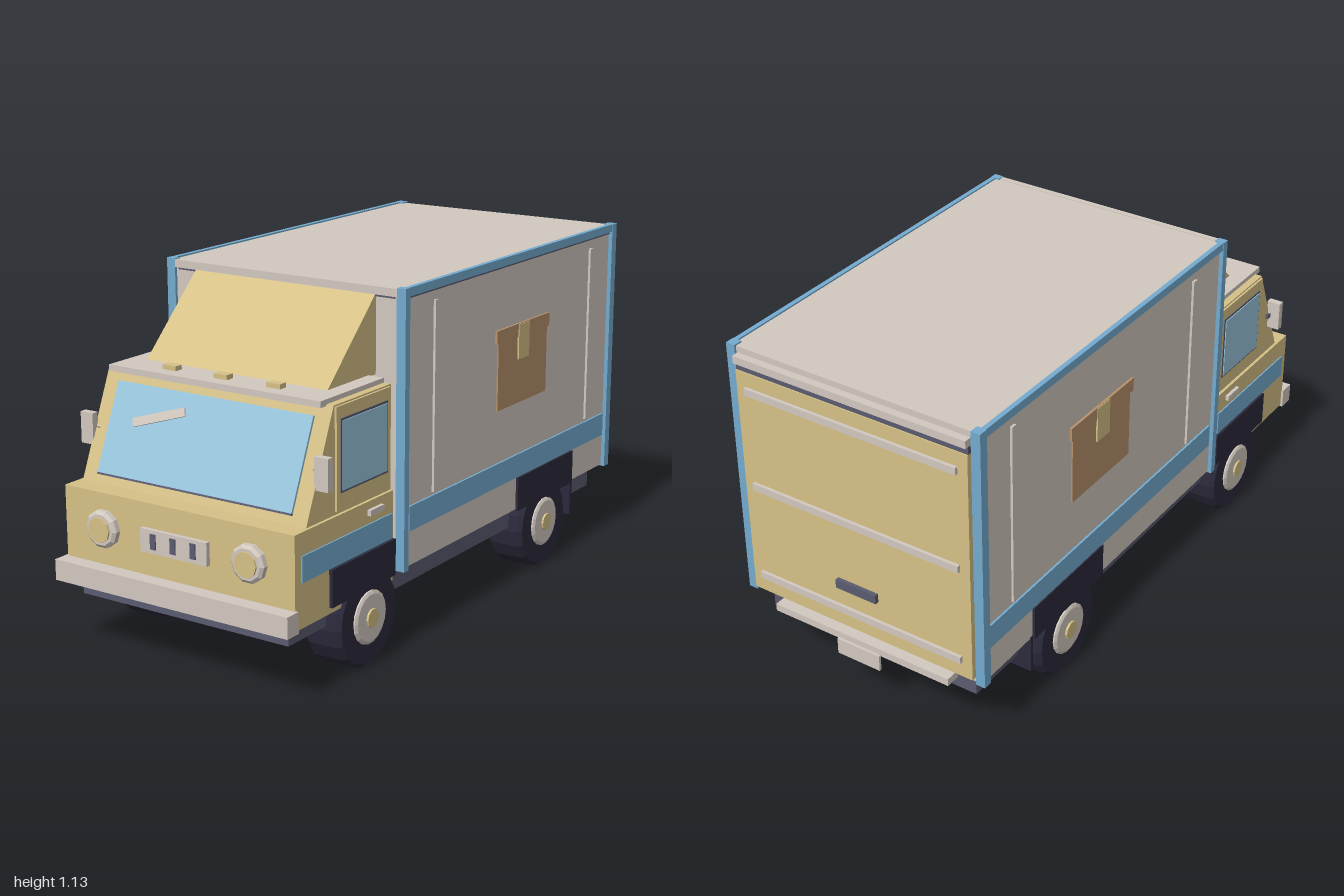
import * as THREE from 'three';

const mat = (name, color) => {
  const m = new THREE.MeshStandardMaterial({ color });
  m.name = name;
  return m;
};

export function createModel() {
  const truck = new THREE.Group();
  truck.name = 'deliveryTruck';

  const khaki = mat('khaki', 0xd6c187);
  const cream = mat('cream', 0xd2c9c0);
  const blue = mat('blue', 0x74acd0);
  const glass = mat('glass', 0x9ac6dc);
  const navy = mat('navy', 0x2c2a3c);
  const slate = mat('slate', 0x5a5b70);
  const cardboard = mat('cardboard', 0xb8936b);

  const add = (name, geo, m, parent = truck) => {
    const mesh = new THREE.Mesh(geo, m);
    mesh.name = name;
    parent.add(mesh);
    return mesh;
  };
  // box given by its limits on each axis
  const box = (name, m, x0, x1, y0, y1, z0, z1, parent = truck) => {
    const mesh = add(name, new THREE.BoxGeometry(x1 - x0, y1 - y0, z1 - z0), m, parent);
    mesh.position.set((x0 + x1) / 2, (y0 + y1) / 2, (z0 + z1) / 2);
    return mesh;
  };
  // the same box on both sides
  const pair = (name, m, x0, x1, ...rest) => {
    box(name + 'Left', m, x0, x1, ...rest);
    box(name + 'Right', m, -x1, -x0, ...rest);
  };
  // side profile of [z, y] points, extruded across the width
  const profile = (name, m, pts, half) => {
    const shape = new THREE.Shape(pts.map(([z, y]) => new THREE.Vector2(z, y)));
    const geo = new THREE.ExtrudeGeometry(shape, { depth: half * 2, bevelEnabled: false });
    geo.translate(0, 0, -half).rotateY(-Math.PI / 2);
    return add(name, geo, m);
  };
  // faceted solid of revolution around x, from [radius, x] points
  const turned = (name, m, pts, sides, parent) => {
    let geo = new THREE.LatheGeometry(pts.map(([r, x]) => new THREE.Vector2(r, x)), sides);
    geo = geo.toNonIndexed();
    geo.computeVertexNormals();
    geo.rotateZ(-Math.PI / 2);
    return add(name, geo, m, parent);
  };

  // chassis
  box('chassis', slate, -0.39, 0.39, 0.17, 0.262, -0.93, 0.93);

  // cargo body
  box('cargoBody', cream, -0.438, 0.438, 0.255, 1.13, -0.965, 0.4);
  pair('frontPost', blue, 0.42, 0.452, 0.25, 1.135, 0.385, 0.41);
  pair('rearPost', blue, 0.42, 0.452, 0.25, 1.135, -0.972, -0.94);
  pair('topRail', blue, 0.434, 0.45, 1.108, 1.135, -0.95, 0.39);
  pair('railShadowGap', slate, 0.43, 0.441, 1.1, 1.108, -0.94, 0.385);
  box('frontHeader', cream, -0.42, 0.42, 1.107, 1.132, 0.39, 0.41);
  box('frontHeaderGap', slate, -0.41, 0.41, 1.1, 1.107, 0.39, 0.404);
  pair('cargoStripe', blue, 0.435, 0.445, 0.37, 0.45, -0.93, 0.37);
  for (const z of [0.22, -0.8]) pair('sideRib', cream, 0.435, 0.446, 0.46, 1.07, z - 0.01, z + 0.01);

  // painted carton on each side
  pair('cartonBody', cardboard, 0.435, 0.443, 0.63, 0.855, -0.49, -0.165);
  pair('cartonLid', cardboard, 0.436, 0.446, 0.855, 0.9, -0.5, -0.15);
  pair('cartonTape', khaki, 0.44, 0.4485, 0.78, 0.898, -0.36, -0.29);

  // rear door
  box('rearDoor', khaki, -0.415, 0.415, 0.27, 1.06, -0.982, -0.96);
  box('doorTopGap', slate, -0.415, 0.415, 1.06, 1.085, -0.978, -0.96);
  box('doorHeader', cream, -0.415, 0.415, 1.085, 1.11, -0.99, -0.96);
  for (const y of [1.0, 0.665, 0.335]) box('doorRib', cream, -0.38, 0.38, y - 0.012, y + 0.012, -0.993, -0.975);
  box('doorHandle', slate, -0.075, 0.075, 0.415, 0.445, -0.996, -0.975);
  box('rearStep', slate, -0.32, 0.32, 0.2, 0.235, -0.97, -0.92);
  box('rearBumper', cream, -0.33, 0.33, 0.215, 0.24, -0.99, -0.94);
  box('rearPlate', cream, -0.08, 0.08, 0.165, 0.22, -1.0, -0.991);

  // cab
  box('cabLower', khaki, -0.43, 0.43, 0.23, 0.52, 0.44, 0.95);
  profile('cabUpper', khaki, [[0.44, 0.51], [0.884, 0.51], [0.74, 0.85], [0.44, 0.85]], 0.42);
  pair('door', khaki, 0.415, 0.427, 0.53, 0.845, 0.45, 0.735);
  pair('doorWindow', glass, 0.424, 0.432, 0.59, 0.8, 0.475, 0.71);
  pair('doorWindowSeal', slate, 0.422, 0.429, 0.583, 0.807, 0.468, 0.717);
  pair('doorHandle', cream, 0.425, 0.442, 0.477, 0.495, 0.505, 0.58);
  pair('cabStripe', blue, 0.427, 0.435, 0.37, 0.45, 0.45, 0.92);
  box('cabRoof', cream, -0.395, 0.395, 0.845, 0.865, 0.44, 0.77);
  for (const x of [-0.195, 0, 0.195]) box('markerLight', khaki, x - 0.025, x + 0.025, 0.86, 0.88, 0.695, 0.725);
  profile('windDeflector', khaki, [[0.66, 0.86], [0.4, 1.11], [0.4, 0.86]], 0.34);

  // windshield, tilted with the front of the cab
  const shield = new THREE.Group();
  shield.name = 'windshield';
  shield.position.set(0, 0.6825, 0.812);
  shield.rotation.x = -0.401;
  truck.add(shield);
  box('windshieldGlass', glass, -0.365, 0.365, -0.144, 0.144, -0.002, 0.007, shield);
  box('windshieldSeal', slate, -0.365, 0.365, -0.15, -0.144, -0.002, 0.007, shield);
  const glint = box('glint', cream, -0.097, 0.097, -0.014, 0.014, -0.004, 0.004, shield);
  glint.position.set(-0.178, 0.055, 0.008);
  glint.rotation.z = 0.32;

  // mirrors
  pair('mirror', cream, 0.415, 0.463, 0.62, 0.72, 0.808, 0.832);
  pair('mirrorArm', slate, 0.4, 0.43, 0.66, 0.675, 0.79, 0.815);

  // nose
  box('frontBumper', cream, -0.438, 0.438, 0.225, 0.292, 0.945, 1.0);
  box('grille', cream, -0.125, 0.125, 0.37, 0.443, 0.94, 0.965);
  for (const x of [-0.075, 0, 0.075]) box('grilleSlot', slate, x - 0.01, x + 0.01, 0.384, 0.432, 0.96, 0.969);
  for (const s of [-1, 1]) {
    const lamp = new THREE.Group();
    lamp.name = s > 0 ? 'headlightLeft' : 'headlightRight';
    lamp.position.set(s * 0.275, 0.41, 0.945);
    lamp.rotation.y = -Math.PI / 2;
    truck.add(lamp);
    turned('headlightRing', cream, [[0.06, 0], [0.06, 0.022], [0.05, 0.03], [0, 0.03]], 10, lamp);
    turned('headlightLens', khaki, [[0.04, 0.025], [0.04, 0.036], [0, 0.036]], 10, lamp);
  }

  // fenders, mud flaps and wheels
  pair('frontFender', navy, 0.34, 0.441, 0.25, 0.367, 0.44, 0.78);
  pair('rearFender', navy, 0.34, 0.447, 0.25, 0.367, -0.7, -0.31);
  pair('mudFlap', navy, 0.31, 0.44, 0.13, 0.26, -0.712, -0.7);
  for (const z of [0.585, -0.505]) {
    for (const s of [-1, 1]) {
      const wheel = new THREE.Group();
      wheel.name = (z > 0 ? 'front' : 'rear') + 'Wheel' + (s > 0 ? 'Left' : 'Right');
      wheel.position.set(s * 0.375, 0.16, z);
      if (s < 0) wheel.rotation.y = Math.PI;
      truck.add(wheel);
      turned('tyre', navy, [[0, -0.065], [0.148, -0.065], [0.16, -0.05], [0.16, 0.05], [0.148, 0.065], [0, 0.065]], 18, wheel);
      turned('rim', cream, [[0.085, 0.05], [0.085, 0.07], [0.075, 0.075], [0, 0.075]], 18, wheel);
      turned('hubCap', khaki, [[0.03, 0.07], [0.03, 0.082], [0, 0.082]], 10, wheel);
    }
  }

  // lamp and wheel groups face outward along their own +x
  return truck;
}
